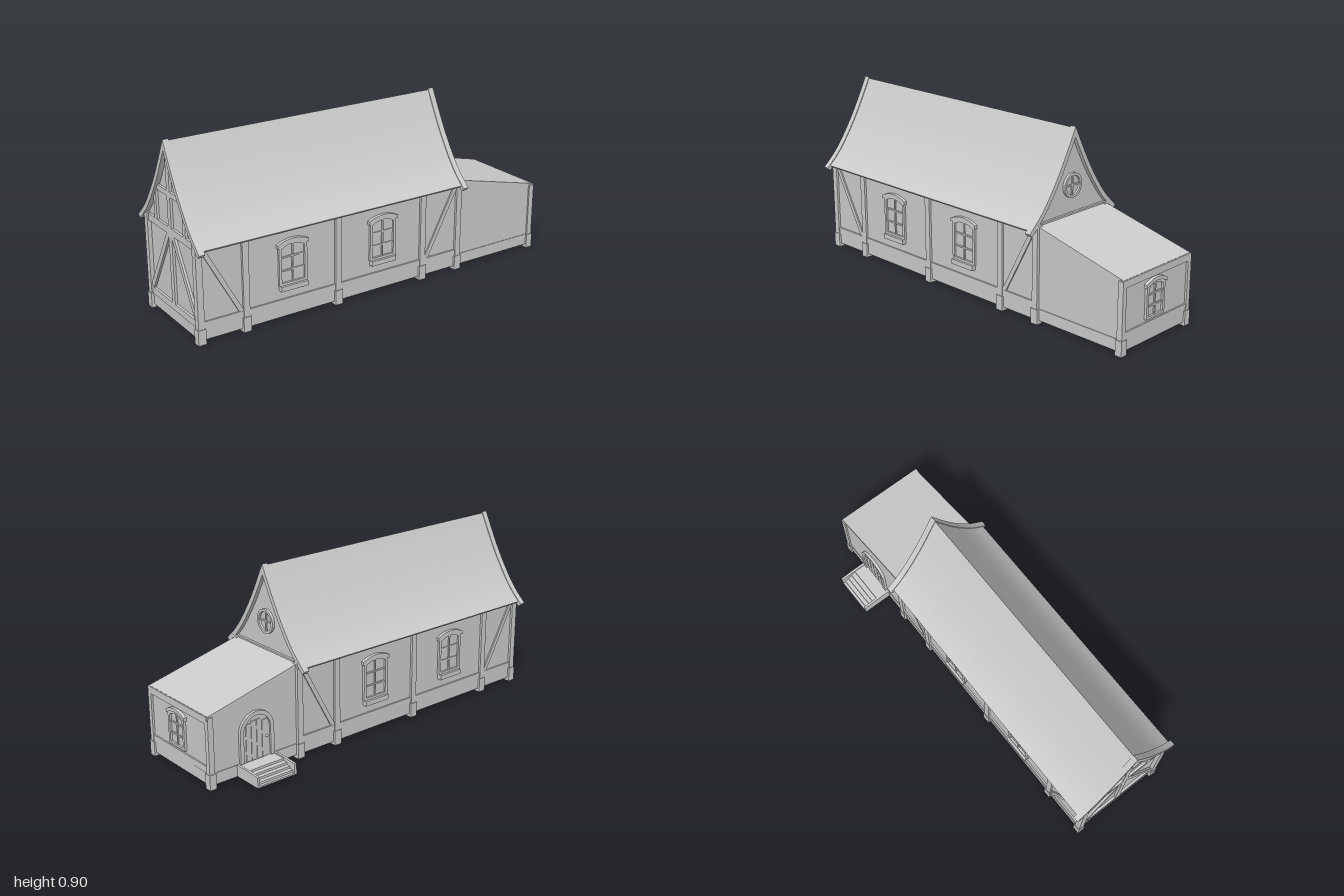
import * as THREE from 'three';
import { toCreasedNormals } from 'three/addons/utils/BufferGeometryUtils.js';

const mat = new THREE.MeshStandardMaterial({ color: 0xcccccc, side: THREE.DoubleSide });
const ZC = 0.045; // centre line of the ridge
const V = (x, y) => new THREE.Vector2(x, y);

function add(parent, name, geo, x = 0, y = 0, z = 0) {
  const m = new THREE.Mesh(geo, mat);
  m.name = name;
  m.position.set(x, y, z);
  parent.add(m);
  return m;
}

// Box given by its lower and upper limits
function box(parent, name, x0, x1, y0, y1, z0, z1) {
  return add(parent, name, new THREE.BoxGeometry(x1 - x0, y1 - y0, z1 - z0),
    (x0 + x1) / 2, (y0 + y1) / 2, (z0 + z1) / 2);
}

// Straight timber between two points of a local xy plane
function timber(parent, name, a, b, width, depth, z = 0) {
  const m = add(parent, name, new THREE.BoxGeometry(a.distanceTo(b), width, depth),
    (a.x + b.x) / 2, (a.y + b.y) / 2, z);
  m.rotation.z = Math.atan2(b.y - a.y, b.x - a.x);
  return m;
}

const extrude = (shape, depth, curveSegments = 10) =>
  new THREE.ExtrudeGeometry(shape, { depth, bevelEnabled: false, curveSegments });

// Cross-section in z and y, run along x from x0 to x1
function section(parent, name, pts, x0, x1) {
  const geo = toCreasedNormals(extrude(new THREE.Shape(pts), x1 - x0).rotateY(Math.PI / 2), 0.4);
  return add(parent, name, geo, x0, 0, ZC);
}

// Half of the sagging roof line, from ridge to eave
const roofLine = new THREE.SplineCurve([V(0, 0.9), V(0.058, 0.787), V(0.115, 0.685),
  V(0.187, 0.577), V(0.24, 0.513), V(0.302, 0.455)]);

function roofOffset(o, end = 1) {
  const pts = [];
  for (let i = 0; i <= 14; i++) {
    const u = (i / 14) * end, p = roofLine.getPointAt(u), t = roofLine.getTangentAt(u);
    pts.push(i ? V(p.x + t.y * o, p.y - t.x * o) : V(0, 0.9 - o * 1.7));
  }
  return pts;
}
const mirror = pts => pts.slice(1).reverse().map(p => V(-p.x, p.y));
const fullLine = pts => [...mirror(pts), ...pts];
const roofBand = (a, b, end) => [...fullLine(roofOffset(a, end)), ...fullLine(roofOffset(b, end)).reverse()];

// Outline with a low curved head
function archPath(Type, w, y0, y1, rise) {
  const p = new Type();
  p.moveTo(-w / 2, y0);
  p.lineTo(w / 2, y0);
  p.lineTo(w / 2, y1 - rise);
  p.quadraticCurveTo(0, y1 + rise, -w / 2, y1 - rise);
  p.closePath();
  return p;
}

function makeWindow(w, h, sill) {
  const g = new THREE.Group();
  g.name = 'window';
  const frame = archPath(THREE.Shape, w, 0, h, 0.02);
  frame.holes.push(archPath(THREE.Path, w - 0.028, 0.012, h - 0.014, 0.018));
  add(g, 'windowFrame', extrude(frame, 0.012));
  add(g, 'windowPane', new THREE.ShapeGeometry(archPath(THREE.Shape, w - 0.02, 0.006, h - 0.008, 0.02)), 0, 0, 0.002);
  box(g, 'mullion', -0.004, 0.004, 0.01, h - 0.012, 0, 0.008);
  for (const k of [0.33, 0.64]) box(g, 'glazingBar', -w / 2 + 0.01, w / 2 - 0.01, h * k - 0.004, h * k + 0.004, 0, 0.007);
  // Curved hood over the head
  const hood = new THREE.Shape();
  hood.moveTo(-w / 2 - 0.008, h - 0.026);
  hood.quadraticCurveTo(0, h + 0.018, w / 2 + 0.008, h - 0.026);
  hood.lineTo(w / 2 + 0.008, h - 0.008);
  hood.quadraticCurveTo(0, h + 0.034, -w / 2 - 0.008, h - 0.008);
  add(g, 'windowHood', extrude(hood, 0.016));
  if (sill) {
    box(g, 'windowSill', -w / 2 + 0.004, w / 2 - 0.004, -0.025, 0, 0, 0.024);
  }
  return g;
}

function roundArch(Type, w, h) {
  const p = new Type(), r = w / 2;
  p.moveTo(-r, 0);
  p.lineTo(r, 0);
  p.lineTo(r, h - r);
  p.absarc(0, h - r, r, 0, Math.PI, false);
  p.closePath();
  return p;
}

function makeDoor() {
  const g = new THREE.Group();
  g.name = 'door';
  const frame = roundArch(THREE.Shape, 0.19, 0.24);
  frame.holes.push(roundArch(THREE.Path, 0.15, 0.22));
  add(g, 'doorFrame', extrude(frame, 0.014));
  add(g, 'doorLeaf', extrude(roundArch(THREE.Shape, 0.152, 0.221), 0.004));
  for (const x of [-0.045, -0.015, 0.015, 0.045])
    box(g, 'doorBatten', x - 0.013, x + 0.013, 0, 0.2 - Math.abs(x) * 0.35, 0, 0.007);
  add(g, 'doorKnob', new THREE.SphereGeometry(0.007, 10, 8), 0.055, 0.1, 0.012);
  return g;
}

function place(parent, obj, x, y, z, ry = 0) {
  obj.position.set(x, y, z);
  obj.rotation.y = ry;
  parent.add(obj);
}

export function createModel() {
  const model = new THREE.Group();
  model.name = 'timberHouse';
  const hall = new THREE.Group();
  hall.name = 'hall';
  const annex = new THREE.Group();
  annex.name = 'annex';
  model.add(hall, annex);

  // Long sides of the hall, built facing +z and turned for the back
  const postX = [-0.978, -0.745, -0.243, 0.26, 0.485];
  for (const s of [1, -1]) {
    const side = new THREE.Group();
    side.name = s > 0 ? 'frontSide' : 'backSide';
    box(side, 'wall', -0.975, 0.48, 0.018, 0.49, -0.015, 0);
    box(side, 'plinth', -0.98, 0.485, 0.018, 0.075, -0.012, 0.004);
    box(side, 'sillBeam', -0.98, 0.485, 0.075, 0.108, -0.01, 0.008);
    box(side, 'wallPlate', -0.98, 0.485, 0.445, 0.48, -0.01, 0.008);
    for (const x of postX) {
      box(side, 'post', x - 0.016, x + 0.016, 0.07, 0.485, -0.02, 0.012);
      box(side, 'postFoot', x - 0.02, x + 0.02, 0, 0.075, -0.022, 0.015);
    }
    timber(side, 'brace', V(-0.955, 0.45), V(-0.765, 0.1), 0.022, 0.014);
    timber(side, 'brace', V(0.465, 0.45), V(0.28, 0.1), 0.022, 0.014);
    for (const x of [-0.495, 0.015]) place(side, makeWindow(0.152, 0.215, true), x, 0.178, 0);
    side.position.z = ZC + s * 0.24;
    side.scale.z = s;
    hall.add(side);
  }

  // Gable walls
  const slope = roofOffset(0.016).filter(p => p.x < 0.235);
  const gable = [V(-0.238, 0.018), V(-0.238, 0.49), ...fullLine(slope), V(0.238, 0.49), V(0.238, 0.018)];
  section(hall, 'leftGableWall', gable, -0.975, -0.96);
  section(hall, 'rightGableWall', gable, 0.465, 0.48);

  // Timber frame of the left gable, in its own plane
  const frame = new THREE.Group();
  frame.name = 'leftGableFrame';
  const bars = [
    [-0.24, 0.465, 0.24, 0.465, 0.034], [-0.24, 0.091, 0.24, 0.091, 0.034],
    [0, 0.1, 0, 0.86, 0.03], [-0.14, 0.47, -0.14, 0.62, 0.024], [0.14, 0.47, 0.14, 0.62, 0.024],
    [-0.02, 0.45, -0.22, 0.11, 0.026], [0.02, 0.45, 0.22, 0.11, 0.026],
    [-0.12, 0.645, 0.12, 0.645, 0.026],
  ];
  for (const [x0, y0, x1, y1, w] of bars) timber(frame, 'gableTimber', V(x0, y0), V(x1, y1), w, 0.018);
  box(frame, 'gablePlinth', -0.24, 0.24, 0.018, 0.075, -0.008, 0.006);
  place(hall, frame, -0.978, 0, ZC, -Math.PI / 2);
  box(hall, 'rightTieBeam', 0.47, 0.492, 0.462, 0.485, -0.195, 0.285);
  box(hall, 'rightPlinth', 0.47, 0.485, 0.018, 0.108, -0.195, 0.285);

  // Round window in the right gable
  const round = new THREE.Group();
  round.name = 'roundWindow';
  const ring = new THREE.Shape().absarc(0, 0, 0.06, 0, Math.PI * 2);
  ring.holes.push(new THREE.Path().absarc(0, 0, 0.047, 0, Math.PI * 2));
  add(round, 'roundFrame', toCreasedNormals(extrude(ring, 0.013, 24), 0.5));
  add(round, 'roundPane', new THREE.CircleGeometry(0.05, 32), 0, 0, 0.002);
  box(round, 'roundMullion', -0.004, 0.004, -0.05, 0.05, 0, 0.008);
  box(round, 'roundBar', -0.05, 0.05, -0.004, 0.004, 0, 0.008);
  place(hall, round, 0.48, 0.618, ZC, Math.PI / 2);

  // Sagging roof with raised verge boards
  section(hall, 'roof', roofBand(0.004, 0.018, 0.965), -0.975, 0.475);
  section(hall, 'leftVerge', roofBand(0, 0.023, 1), -1, -0.97);
  section(hall, 'rightVerge', roofBand(0, 0.023, 1), 0.47, 0.5);

  // Annex side walls with a falling top
  for (const s of [1, -1]) {
    const z = ZC + s * 0.231;
    const wall = new THREE.Shape([V(0.475, 0.018), V(0.985, 0.018), V(0.985, 0.345), V(0.475, 0.468)]);
    add(annex, 'annexSideWall', extrude(wall, 0.012), 0, 0, z - 0.006);
    box(annex, 'annexPlinth', 0.48, 0.985, 0.018, 0.075, z - 0.009, z + 0.009);
    box(annex, 'annexPost', 0.968, 0.997, 0.07, 0.35, z - 0.012 + s * 0.002, z + 0.012 + s * 0.002);
    box(annex, 'annexPostFoot', 0.964, 1, 0, 0.075, z - 0.018, z + 0.018);
  }
  // Annex end wall
  box(annex, 'annexEndWall', 0.975, 0.987, 0.018, 0.345, -0.186, 0.276);
  box(annex, 'annexEndPlinth', 0.975, 0.991, 0.018, 0.075, -0.186, 0.276);
  box(annex, 'annexEndSill', 0.975, 0.994, 0.075, 0.108, -0.186, 0.276);
  box(annex, 'annexEndBeam', 0.97, 0.998, 0.32, 0.355, -0.193, 0.288);
  place(annex, makeWindow(0.13, 0.178, false), 0.987, 0.122, 0.058, Math.PI / 2);

  // Annex lean-to roof
  const roof = new THREE.Shape([V(0.475, 0.465), V(0.992, 0.34), V(0.992, 0.356), V(0.475, 0.481)]);
  add(annex, 'annexRoof', extrude(roof, 0.478), 0, 0, -0.194);

  // Door and steps at the back
  place(annex, makeDoor(), 0.735, 0.075, -0.192, Math.PI);
  const steps = new THREE.Group();
  steps.name = 'steps';
  [-0.268, -0.293, -0.315, -0.336, -0.35].forEach((z, i) =>
    box(steps, 'step', 0.635, 0.835, 0.018, 0.07 - i * 0.011, z, -0.19));
  const cheek = new THREE.Shape([V(0.19, 0.018), V(0.35, 0.018), V(0.35, 0.071), V(0.28, 0.076), V(0.19, 0.076)]);
  for (const x of [0.625, 0.833])
    add(steps, 'stepCheek', extrude(cheek, 0.012).rotateY(Math.PI / 2), x, 0, 0);
  annex.add(steps);
  return model;
}
